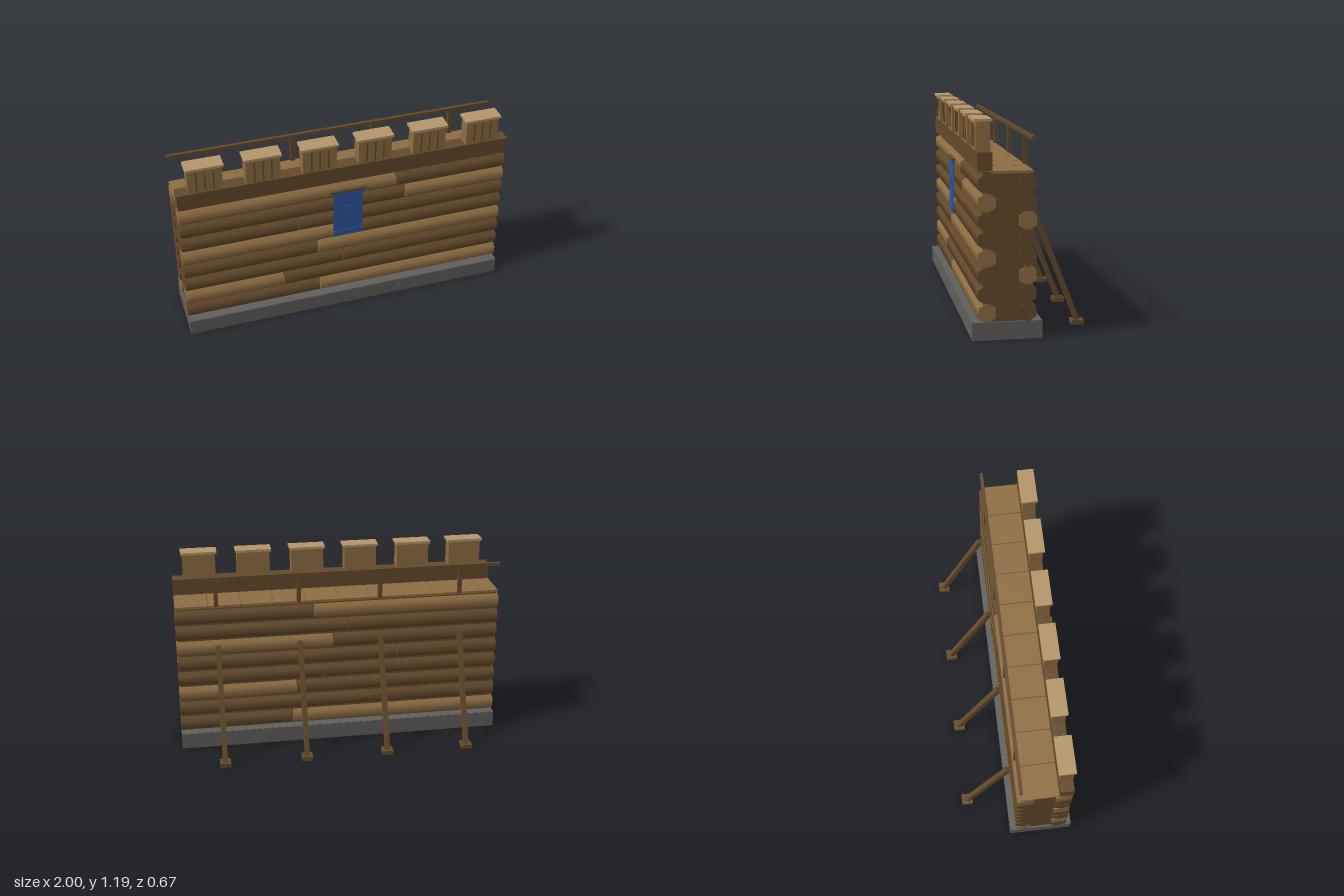
import * as THREE from 'three';

const mat = (name, color, side = THREE.FrontSide) => {
  const m = new THREE.MeshStandardMaterial({ color });
  m.name = name;
  return m;
};

export function createModel() {
  const darkWood = mat('dark wood', 0x634a2b);
  const lightWood = mat('light wood', 0x8f6e43);
  const paleWood = mat('pale wood', 0xb5966a);
  const stone = mat('stone', 0x605f5c);
  const blue = mat('blue cloth', 0x3057a0);

  const wall = new THREE.Group();
  wall.name = 'palisadeWall';

  // Box given by its extents on each axis
  const box = (name, material, [x0, x1], [y0, y1], [z0, z1], parent = wall) => {
    const mesh = new THREE.Mesh(new THREE.BoxGeometry(x1 - x0, y1 - y0, z1 - z0), material);
    mesh.position.set((x0 + x1) / 2, (y0 + y1) / 2, (z0 + z1) / 2);
    mesh.name = name;
    parent.add(mesh);
    return mesh;
  };

  // Stone footing with a row of facing blocks on both long sides
  box('footing', stone, [-1, 1], [0, 0.1], [-0.047, 0.332]);
  for (let i = 0; i < 6; i++) {
    const x = -1 + i / 3;
    const span = [x + 0.001, x + 1 / 3 - 0.001];
    box('frontFootingBlock', stone, span, [0.002, 0.098], [0.332, 0.335]);
    box('backFootingBlock', stone, span, [0.002, 0.098], [-0.05, -0.047]);
  }

  // Solid core between the two log faces
  box('wallCore', darkWood, [-0.99, 0.99], [0.1, 0.915], [0.012, 0.272]);

  // Six-sided log lying along x, points up and down
  const log = (name, material, x0, x1, y, z) => {
    const geo = new THREE.CylinderGeometry(0.055, 0.055, x1 - x0, 6, 1, false, Math.PI / 6);
    geo.rotateZ(Math.PI / 2);
    const mesh = new THREE.Mesh(geo, material);
    mesh.position.set((x0 + x1) / 2, y, z);
    mesh.name = name;
    wall.add(mesh);
  };

  // Each course: joint position, colour towards -x, colour towards +x
  const D = darkWood, L = lightWood;
  const frontCourses = [
    [-0.17, D, L], [-0.395, L, D], [-0.02, D, D], [-0.18, D, L],
    [-0.05, L, D], [-0.295, D, D], [0.365, D, L], [0.305, L, D],
  ];
  const backCourses = [
    [0.3, L, D], [-0.2, D, D], [0.27, D, L], [0.1, D, D],
    [-0.36, D, D], [0.04, D, L], [-0.05, D, D], [0.16, L, D],
  ];
  [['frontLog', frontCourses, 0.253], ['backLog', backCourses, 0.031]].forEach(([name, courses, z]) => {
    courses.forEach(([joint, left, right], i) => {
      const y = 0.15 + i * 0.1;
      log(name, left, -1, joint - 0.003, y, z);
      log(name, right, joint + 0.003, 1, y, z);
    });
  });

  // Walkway planks
  for (let i = 0; i < 10; i++) {
    const x = -1 + i * 0.2;
    box('walkwayPlank', lightWood, [x + 0.002, x + 0.198], [0.905, 0.92], [0.002, 0.225]);
  }

  // Parapet beam and capped merlons with slats on the front
  box('parapetBeam', darkWood, [-1, 1], [0.92, 1.02], [0.223, 0.303]);
  for (let i = 0; i < 6; i++) {
    const merlon = new THREE.Group();
    merlon.name = 'merlon';
    merlon.position.x = -5 / 6 + i / 3;
    box('merlonBlock', lightWood, [-0.1, 0.1], [1.02, 1.175], [0.223, 0.302], merlon);
    box('merlonCap', paleWood, [-0.11, 0.11], [1.175, 1.19], [0.213, 0.312], merlon);
    for (const x of [-0.05, 0, 0.05]) {
      box('merlonGroove', darkWood, [x - 0.004, x + 0.004], [1.035, 1.16], [0.302, 0.306], merlon);
    }
    wall.add(merlon);
  }

  // Guard rail, with a leaning brace and foot in line with every post
  box('guardRail', darkWood, [-1, 1], [1.08, 1.1], [-0.008, 0.012]);
  const top = new THREE.Vector2(-0.04, 0.678), foot = new THREE.Vector2(-0.3, 0.02);
  const lean = foot.clone().sub(top);
  for (const x of [-0.75, -0.25, 0.25, 0.75]) {
    box('railPost', darkWood, [x - 0.012, x + 0.012], [0.915, 1.082], [-0.01, 0.014]);
    const brace = new THREE.Mesh(new THREE.BoxGeometry(0.03, lean.length(), 0.03), darkWood);
    brace.position.set(x, (top.y + foot.y) / 2, (top.x + foot.x) / 2);
    brace.rotation.x = Math.atan2(lean.x, lean.y);
    brace.name = 'brace';
    wall.add(brace);
    box('braceFoot', darkWood, [x - 0.033, x + 0.033], [0, 0.026], [-0.334, -0.265]);
  }

  // Hanging cloth with its rod, centre patch and hem
  box('bannerRod', darkWood, [-0.11, 0.11], [0.855, 0.87], [0.305, 0.327]);
  box('bannerCloth', blue, [-0.09, 0.09], [0.533, 0.856], [0.312, 0.319]);
  box('bannerPatch', blue, [-0.03, 0.03], [0.692, 0.752], [0.319, 0.323]);
  box('bannerPatchCentre', blue, [-0.014, 0.014], [0.708, 0.736], [0.323, 0.326]);
  box('bannerHem', blue, [-0.09, 0.09], [0.548, 0.575], [0.319, 0.323]);

  return wall;
}
